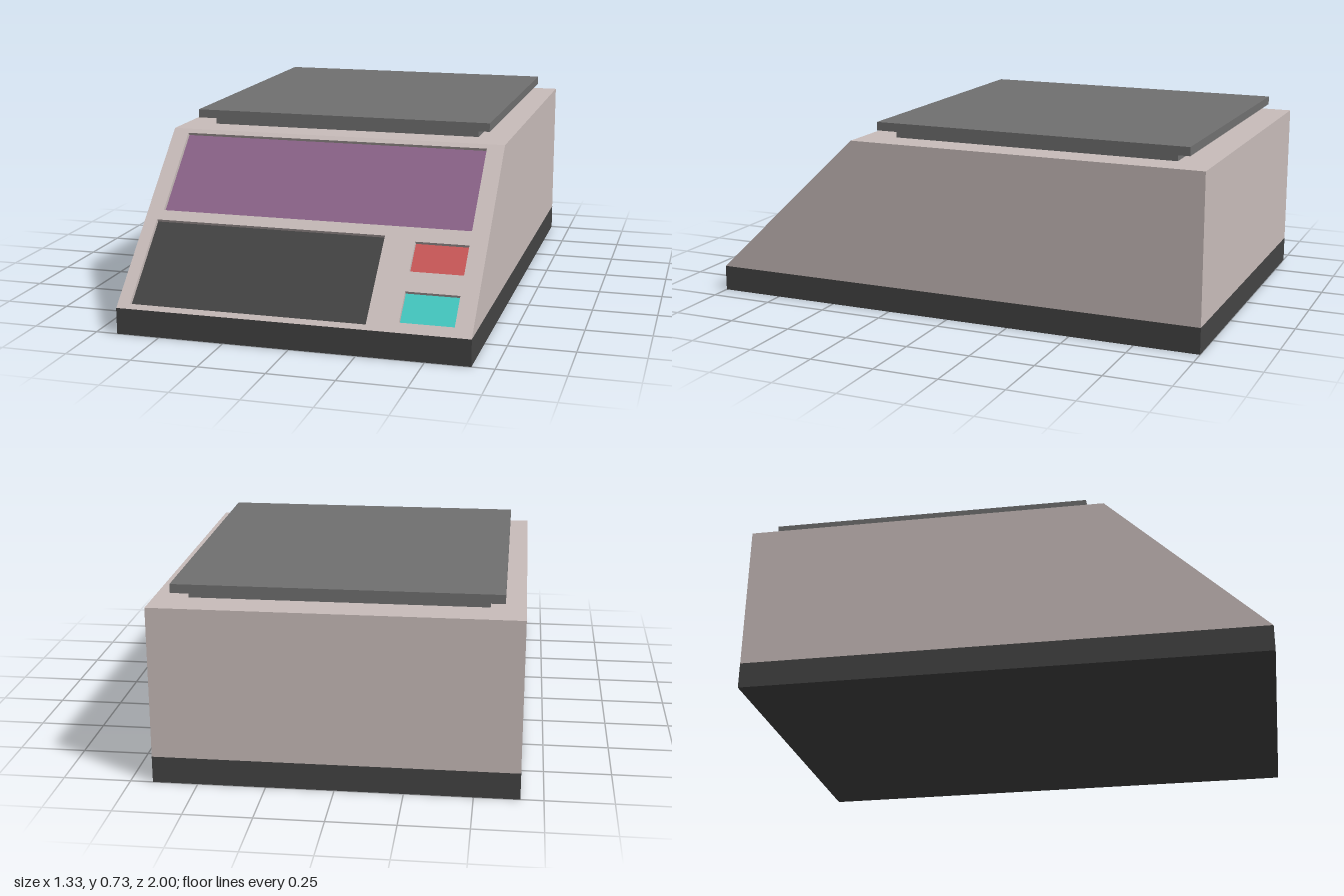
import * as THREE from 'three';

const HALF_W = 0.6667;      // half width of the case
const BASE_H = 0.1;         // height of the dark base
const TOP_H = 0.667;        // height of the case top
const RIDGE_Z = 0.4;        // where the sloping console meets the top
const PLATE = 0.02;         // thickness of the console plate
const RECESS = 0.015;       // depth of the inset panels

const RISE = TOP_H - BASE_H;
const RUN = 1 - RIDGE_Z;
const SLOPE = Math.hypot(RISE, RUN);

function mesh(name, geometry, color) {
  const material = new THREE.MeshStandardMaterial({ color, flatShading: true });
  const m = new THREE.Mesh(geometry, material);
  m.name = name;
  return m;
}

// Box given by its extents
function block(name, [x0, x1], [y0, y1], [z0, z1], color) {
  const m = mesh(name, new THREE.BoxGeometry(x1 - x0, y1 - y0, z1 - z0), color);
  m.position.set((x0 + x1) / 2, (y0 + y1) / 2, (z0 + z1) / 2);
  return m;
}

function polygon(points, Type = THREE.Shape) {
  return new Type(points.map(([x, y]) => new THREE.Vector2(x, y)));
}

const rectangle = (x0, x1, y0, y1) => [[x0, y0], [x1, y0], [x1, y1], [x0, y1]];

export function createModel() {
  const model = new THREE.Group();
  model.name = 'weighingScale';
  const bodyColor = 0xc9bdbb;
  const panColor = 0x707070;
  const bodyHalf = HALF_W - 0.0004;

  model.add(block('base', [-HALF_W, HALF_W], [0, BASE_H], [-1, 1], 0x444444));

  // Case: side profile (z, y) extruded across, its slope set back behind the console plate
  const profile = polygon([
    [-1, BASE_H],
    [1 - PLATE * SLOPE / RISE, BASE_H],
    [RIDGE_Z - PLATE * RISE / SLOPE, TOP_H - PLATE * RUN / SLOPE],
    [RIDGE_Z, TOP_H],
    [-1, TOP_H],
  ]);
  const caseGeometry = new THREE.ExtrudeGeometry(profile, { depth: bodyHalf * 2, bevelEnabled: false });
  caseGeometry.translate(0, 0, -bodyHalf).rotateY(-Math.PI / 2);
  model.add(mesh('case', caseGeometry, bodyColor));

  // Sloping console: local y runs up the slope, local z points outwards
  const console_ = new THREE.Group();
  console_.name = 'console';
  console_.position.set(0, BASE_H, 1);
  console_.rotation.x = -Math.atan2(RUN, RISE);
  model.add(console_);

  // Inset panels: left, right, bottom and top on the slope
  const panels = [
    { name: 'display', rect: [-0.603, 0.6, 0.437, 0.805], color: 0x8b6489 },
    { name: 'keypad', rect: [-0.618, 0.283, 0.022, 0.393], color: 0x444444 },
    { name: 'redButton', rect: [0.4, 0.6, 0.25, 0.376], color: 0xcb5959 },
    { name: 'tealButton', rect: [0.4, 0.6, 0.041, 0.167], color: 0x45cac3 },
  ];

  const plate = polygon(rectangle(-bodyHalf, bodyHalf, 0, SLOPE));
  for (const { name, rect, color } of panels) {
    plate.holes.push(polygon(rectangle(...rect), THREE.Path));
    const [x0, x1, y0, y1] = rect;
    console_.add(block(name, [x0, x1], [y0, y1], [-PLATE, -RECESS], color));
  }
  const plateGeometry = new THREE.ExtrudeGeometry(plate, { depth: PLATE, bevelEnabled: false });
  plateGeometry.translate(0, 0, -PLATE);
  console_.add(mesh('consolePlate', plateGeometry, bodyColor));

  // Weighing pan on its smaller support
  model.add(block('panSupport', [-0.54, 0.54], [TOP_H, 0.7], [-0.862, 0.268], panColor));
  model.add(block('weighingPan', [-0.593, 0.593], [0.7, 0.733], [-0.922, 0.324], panColor));

  return model;
}
